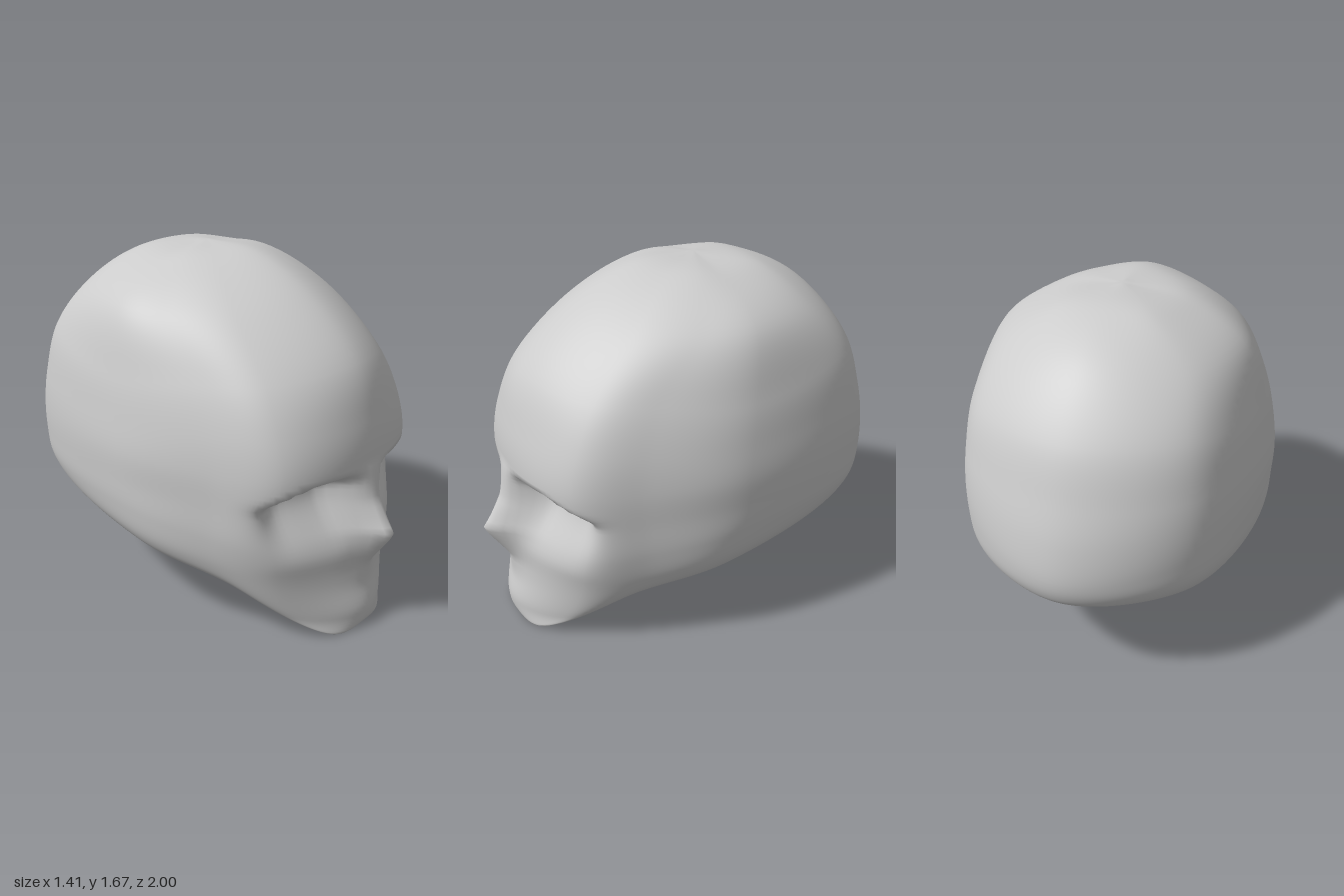
import * as THREE from 'three';

const RINGS = 88, SIDES = 160;
const { smoothstep } = THREE.MathUtils;
const bell = (d, w) => Math.exp(-(d * d) / (w * w));

// Smooth guide line running from the crown down to the neck opening
function guide(points) {
  const crown = [0, 1.665, -0.1];
  return new THREE.CatmullRomCurve3([crown, ...points].map(p => new THREE.Vector3(...p)));
}

// Guides on the left half: face centre, cheek, temple and jaw, side, rear corner, back centre
const front = guide([[0, 1.645, 0.2], [0, 1.5, 0.5], [0, 1.24, 0.77], [0, 1.0, 0.85], [0, 0.82, 0.87],
  [0, 0.66, 0.85], [0, 0.48, 0.85], [0, 0.26, 0.865], [0, 0.08, 0.9], [0, 0, 0.87], [0, 0.19, 0.56]]);
const cheek = guide([[0.18, 1.63, 0.12], [0.34, 1.46, 0.36], [0.42, 1.2, 0.6], [0.45, 1.0, 0.7], [0.46, 0.82, 0.74],
  [0.47, 0.64, 0.71], [0.46, 0.48, 0.7], [0.41, 0.29, 0.69], [0.31, 0.1, 0.74], [0.18, 0, 0.83], [0.21, 0.2, 0.55]]);
const temple = guide([[0.27, 1.62, 0.02], [0.49, 1.45, 0.14], [0.56, 1.19, 0.34], [0.595, 0.99, 0.41], [0.605, 0.83, 0.44],
  [0.605, 0.67, 0.43], [0.6, 0.52, 0.42], [0.57, 0.38, 0.42], [0.51, 0.28, 0.44], [0.43, 0.235, 0.44], [0.38, 0.26, 0.32]]);
const side = guide([[0.3, 1.61, -0.1], [0.555, 1.45, -0.1], [0.655, 1.17, -0.05], [0.69, 0.98, -0.02], [0.705, 0.84, 0],
  [0.7, 0.7, 0], [0.69, 0.57, 0.03], [0.66, 0.44, 0.05], [0.61, 0.37, 0.05], [0.54, 0.34, 0.04], [0.45, 0.35, 0]]);
const rear = guide([[0.2, 1.625, -0.33], [0.4, 1.47, -0.48], [0.48, 1.25, -0.64], [0.51, 1.02, -0.7], [0.52, 0.86, -0.72],
  [0.52, 0.72, -0.72], [0.51, 0.6, -0.71], [0.48, 0.52, -0.68], [0.44, 0.46, -0.62], [0.39, 0.42, -0.56], [0.33, 0.41, -0.5]]);
const back = guide([[0, 1.64, -0.35], [0, 1.515, -0.62], [0, 1.26, -0.84], [0, 1.03, -0.93], [0, 0.86, -0.98],
  [0, 0.69, -1], [0, 0.6, -0.985], [0, 0.54, -0.95], [0, 0.49, -0.86], [0, 0.45, -0.78], [0, 0.43, -0.71]]);

// Nose: height above the face at each level
const noseLine = [[0.82, 0], [0.64, 0.06], [0.55, 0.115], [0.5, 0.15], [0.45, 0.12], [0.32, 0.025], [0.2, 0]];
function noseHeight(y) {
  for (let i = 1; i < noseLine.length; i++) {
    const [y0, h0] = noseLine[i - 1], [y1, h1] = noseLine[i];
    if (y <= y0 && y >= y1) return h0 + (h1 - h0) * (y0 - y) / (y0 - y1);
  }
  return 0;
}

// Press the eye sockets in and pull the nose out
function sculptFace(p) {
  if (p.z < 0.4) return;
  const x = Math.abs(p.x), y = p.y;
  const across = smoothstep(x, 0.05, 0.2) * (1 - smoothstep(x, 0.38, 0.58));
  const brow = 0.77 - 0.06 * smoothstep(x, 0.3, 0.55);
  const down = (1 - smoothstep(y, brow - 0.05, brow + 0.03)) * smoothstep(y, 0.38, 0.74);
  p.z -= 0.14 * across * down;
  p.z += noseHeight(y) * (0.65 * bell(x, 0.06) + 0.35 * bell(x, 0.15));
}

// Closed rings through the mirrored guides, open at the neck
function headGeometry() {
  const pos = [0, 1.665, -0.1], index = [];
  for (let i = 1; i <= RINGS; i++) {
    const [f, c, t, s, r, b] = [front, cheek, temple, side, rear, back].map(g => g.getPoint(i / RINGS));
    const flip = v => new THREE.Vector3(-v.x, v.y, v.z);
    const ring = new THREE.CatmullRomCurve3([f, c, t, s, r, b, ...[r, s, t, c].map(flip)], true);
    for (let j = 0; j < SIDES; j++) {
      const p = ring.getPoint(j / SIDES);
      if (i < RINGS * 0.87) sculptFace(p);
      pos.push(p.x, p.y, p.z);
    }
  }
  const id = (i, j) => (i === 0 ? 0 : 1 + (i - 1) * SIDES + (j % SIDES));
  for (let i = 0; i < RINGS; i++) {
    for (let j = 0; j < SIDES; j++) {
      const a = id(i, j), b = id(i + 1, j), c = id(i + 1, j + 1), d = id(i, j + 1);
      index.push(a, b, c);
      if (i > 0) index.push(a, c, d);
    }
  }
  const geo = new THREE.BufferGeometry();
  geo.setAttribute('position', new THREE.Float32BufferAttribute(pos, 3));
  geo.setIndex(index);
  geo.computeVertexNormals();
  return geo;
}

export function createModel() {
  const group = new THREE.Group();
  group.name = 'head';
  const shell = new THREE.Mesh(headGeometry(),
    new THREE.MeshStandardMaterial({ color: 0xcccccc, side: THREE.DoubleSide }));
  shell.name = 'headShell';
  group.add(shell);
  return group;
}
